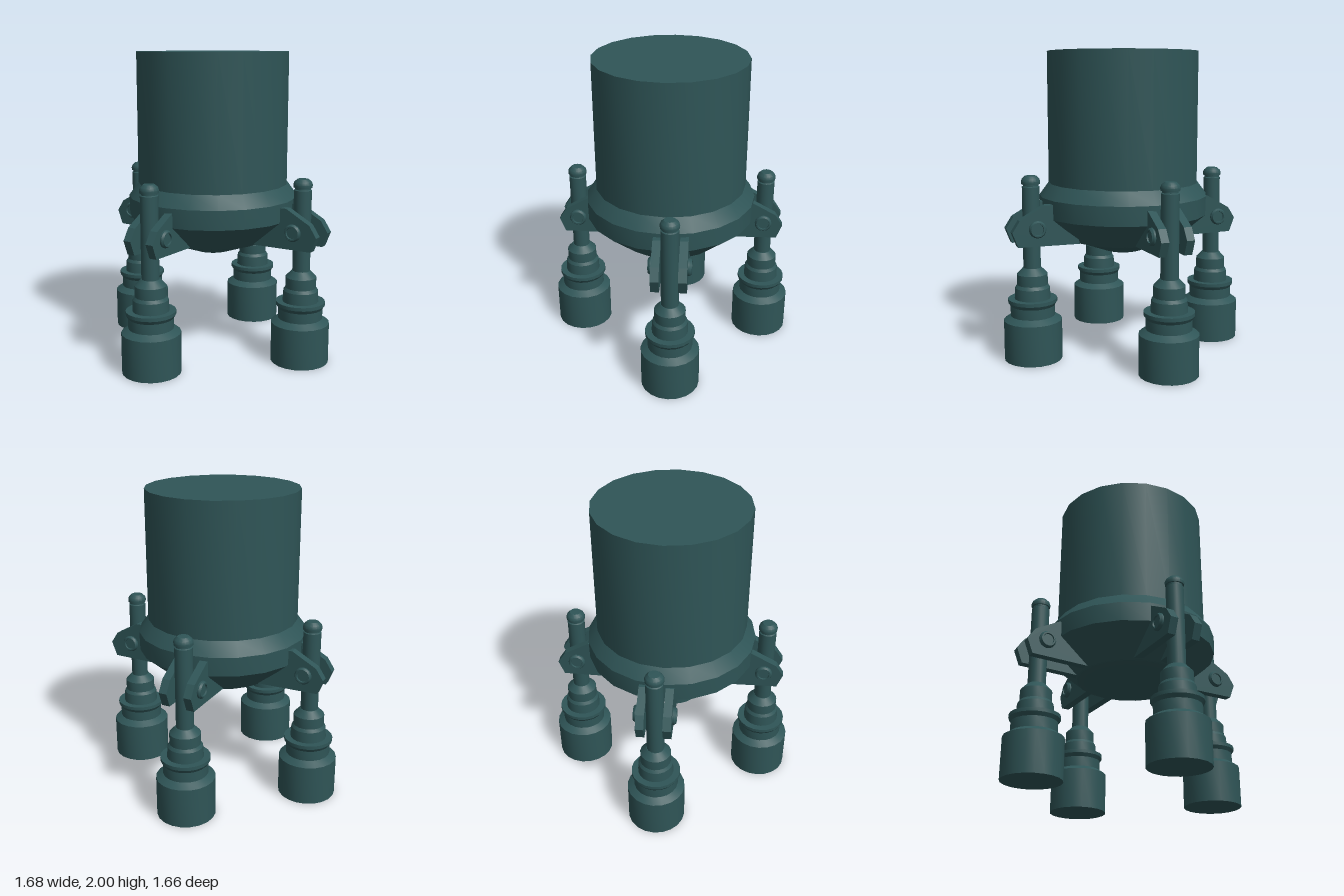
import * as THREE from 'three';
import { toCreasedNormals } from 'three/addons/utils/BufferGeometryUtils.js';

const SIDES = 20;
const material = new THREE.MeshStandardMaterial({ color: 0x2f5557 });

function add(parent, name, geometry) {
  const mesh = new THREE.Mesh(geometry, material);
  mesh.name = name;
  parent.add(mesh);
  return mesh;
}

// Turned part from [radius, height] pairs, listed bottom to top
function turned(points, sides = SIDES) {
  const profile = points.map(([r, y]) => new THREE.Vector2(r, y));
  return toCreasedNormals(new THREE.LatheGeometry(profile, sides), 0.5);
}

// Bracket cheek outline: distance from the model's axis, height
const CHEEK = [
  [0.33, 0.765], [0.737, 0.77], [0.774, 0.865], [0.725, 0.94], [0.563, 1.03], [0.4, 1.03],
];

// One leg: +x points away from the tank, origin on the rod's axis
function makeLeg(reach, shift) {
  const leg = new THREE.Group();

  add(leg, 'foot', turned([
    [0, 0], [0.19, 0], [0.19, 0.265], [0.145, 0.295], [0.145, 0.362],
    [0.16, 0.385], [0.16, 0.408], [0.115, 0.408],
  ]));
  add(leg, 'shockSleeve', turned([
    [0.118, 0.39], [0.113, 0.48], [0.1, 0.5], [0.1, 0.57], [0.06, 0.612], [0.04, 0.612],
  ]));
  add(leg, 'rod', turned([[0.057, 0.6], [0.057, 1.14], [0.05, 1.145], [0.05, 1.165]], 16));
  add(leg, 'rodCap', turned([
    [0, 1.157], [0.06, 1.157], [0.062, 1.175], [0.056, 1.192], [0.037, 1.21], [0, 1.212],
  ], 16));

  // Pair of cheek plates holding the rod, each with a pin head outside
  const outline = new THREE.Shape(CHEEK.map(([u, y]) => new THREE.Vector2(u - reach + shift, y)));
  const cheekGeometry = new THREE.ExtrudeGeometry(outline, { depth: 0.053, bevelEnabled: false });
  const pinGeometry = turned([
    [0.056, 0.1], [0.056, 0.122], [0.047, 0.135], [0.037, 0.135], [0.035, 0.125], [0, 0.125],
  ], 16);
  for (const side of [1, -1]) {
    const cheek = add(leg, 'bracketCheek', cheekGeometry);
    cheek.position.z = side > 0 ? 0.058 : -0.111;
    const pin = add(leg, 'pinHead', pinGeometry);
    pin.position.set(-0.01, 0.88, 0);
    pin.rotation.x = side * Math.PI / 2;
  }
  return leg;
}

export function createModel() {
  const model = new THREE.Group();
  model.name = 'tankOnLegs';

  // Tank with flared skirt and tapering underside
  add(model, 'tank', turned([
    [0.5, 1.13], [0.5, 2], [0, 2],
  ]));
  add(model, 'tankSkirt', turned([
    [0.355, 0.755], [0.56, 0.93], [0.563, 1.055], [0.5, 1.14],
  ]));
  add(model, 'tankBottom', turned([
    [0, 0.674], [0.125, 0.674], [0.335, 0.75], [0.36, 0.758],
  ]));

  // Four legs: name, x, z, heading, bracket shift
  const legs = [
    ['leftLeg', 0.652, -0.04, 0, 0.03],
    ['backLeg', -0.053, -0.638, 1, 0],
    ['rightLeg', -0.652, -0.04, 2, 0],
    ['frontLeg', -0.053, 0.638, 3, 0],
  ];
  for (const [name, x, z, quarter, shift] of legs) {
    const reach = quarter % 2 ? 0.655 : 0.652;
    const leg = makeLeg(reach, shift);
    leg.name = name;
    leg.position.set(x, 0, z);
    leg.rotation.y = quarter * Math.PI / 2;
    model.add(leg);
  }
  return model;
}
